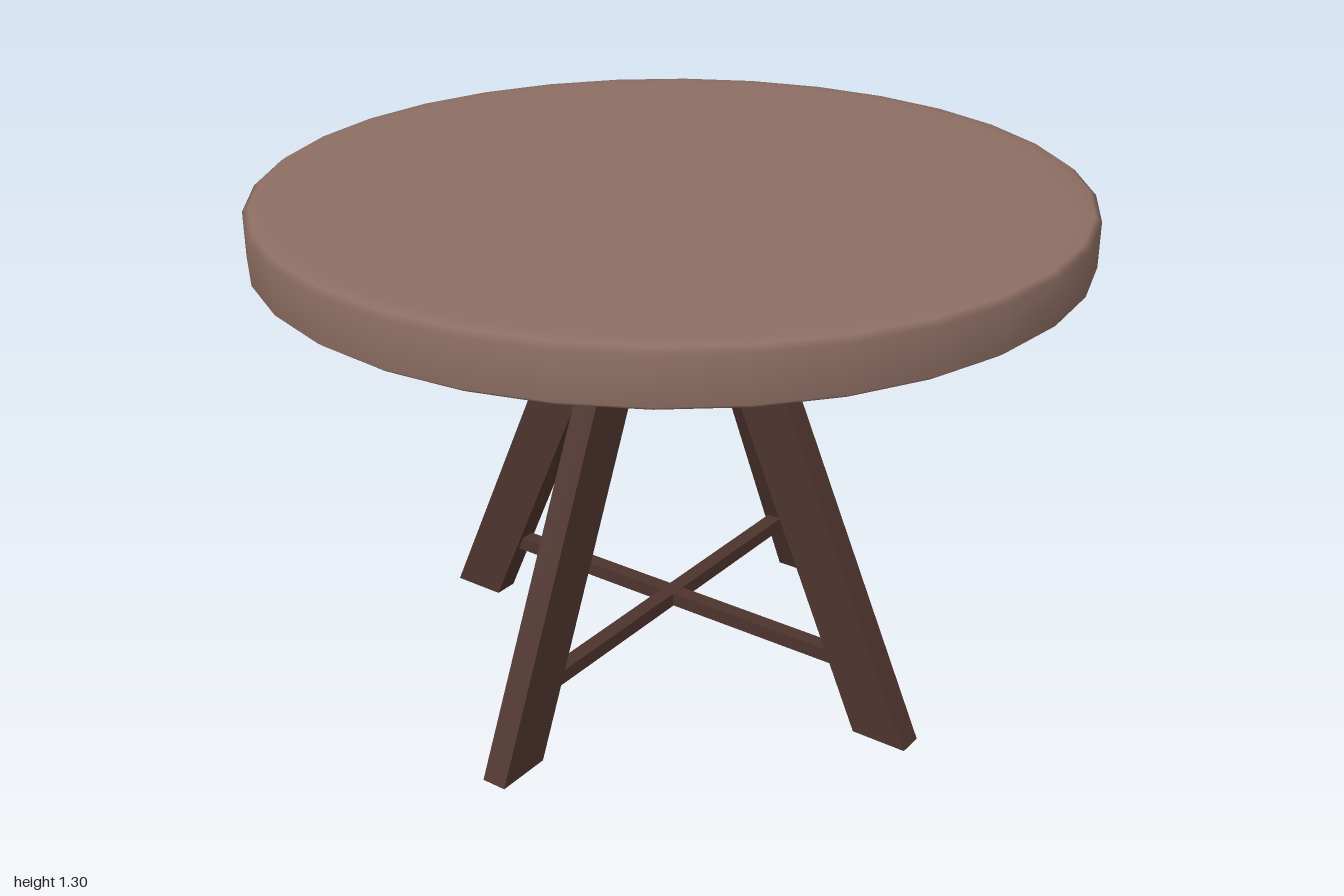
import * as THREE from 'three';

const TOP = new THREE.MeshStandardMaterial({ color: 0x8d6e63 });
const WOOD = new THREE.MeshStandardMaterial({ color: 0x4e342e });

function part(name, geometry, material) {
  const mesh = new THREE.Mesh(geometry, material);
  mesh.name = name;
  return mesh;
}

// Round top with softened rims, 32 sides
function tabletop() {
  const profile = [
    [0, 1.16], [0.9, 1.16], [0.95, 1.162], [0.985, 1.167], [1, 1.178],
    [1, 1.287], [0.985, 1.298], [0.95, 1.303], [0.9, 1.305], [0, 1.305],
  ].map(([r, y]) => new THREE.Vector2(r, y));
  return part('tabletop', new THREE.LatheGeometry(profile, 32), TOP);
}

// Slanted leg cut level at the floor and at the batten
function leg(side) {
  const outline = [[0.58, 0], [0.725, 0], [0.225, 1.13], [0.08, 1.13]]
    .map(([x, y]) => new THREE.Vector2(x, y));
  const geometry = new THREE.ExtrudeGeometry(new THREE.Shape(outline), { depth: 0.065, bevelEnabled: false });
  geometry.translate(0, 0, -0.0325);
  if (side < 0) geometry.rotateY(Math.PI);
  return part(side > 0 ? 'outerLeg' : 'oppositeLeg', geometry, WOOD);
}

// One trestle: two legs, the batten under the top and the low stretcher
function trestle(name) {
  const group = new THREE.Group();
  group.name = name;
  const batten = part('batten', new THREE.BoxGeometry(1.41, 0.04, 0.13), WOOD);
  batten.position.y = 1.145;
  const stretcher = part('stretcher', new THREE.BoxGeometry(1.08, 0.036, 0.04), WOOD);
  stretcher.position.y = 0.18;
  group.add(leg(1), leg(-1), batten, stretcher);
  return group;
}

export function createModel() {
  const table = new THREE.Group();
  table.name = 'roundTable';
  const across = trestle('sideTrestle');
  const along = trestle('frontBackTrestle');
  along.rotation.y = Math.PI / 2;
  table.add(tabletop(), across, along);
  return table;
}
